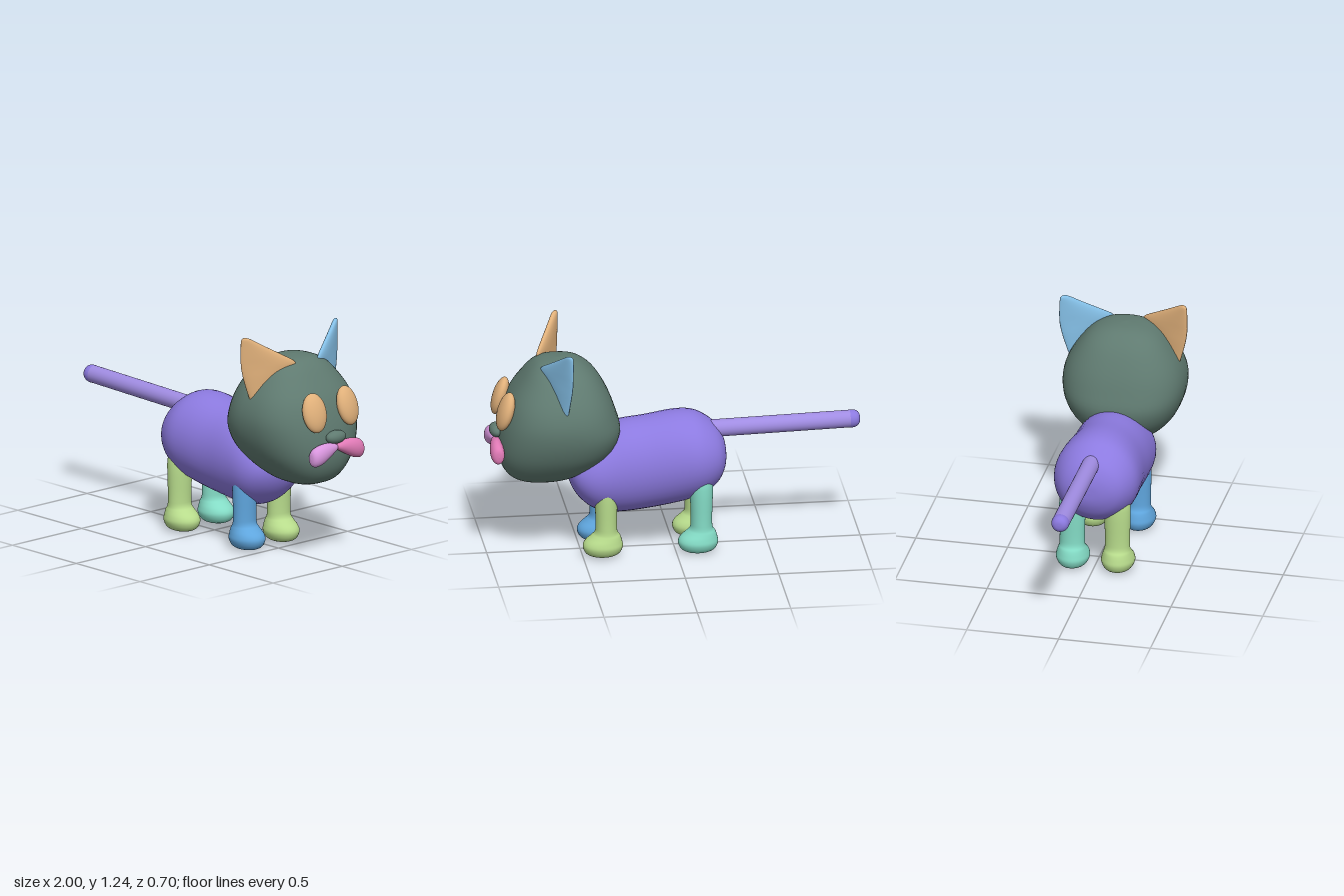
import * as THREE from 'three';

const mat = (name, color) => {
  const m = new THREE.MeshStandardMaterial({ color });
  m.name = name;
  return m;
};

// Smooth loft through sections [t, c1, r1, r2, c2] along an axis; pow squares off the rings
const place = {
  x: (t, u, v) => [t, u, v],
  y: (t, u, v) => [u, t, -v],
  z: (t, u, v) => [u, v, t],
};
function loft(sections, axis, { pow = 2, sides = 40, sub = 4 } = {}) {
  const mid = new THREE.CatmullRomCurve3(sections.map(s => new THREE.Vector3(s[0], s[1], s[4] || 0)), false, 'catmullrom');
  const rad = new THREE.CatmullRomCurve3(sections.map(s => new THREE.Vector3(s[2], s[3], 0)), false, 'catmullrom');
  const rows = (sections.length - 1) * sub;
  const pos = [], index = [];
  const bend = v => Math.sign(v) * Math.abs(v) ** (2 / pow);
  for (let i = 0; i <= rows; i++) {
    const m = mid.getPoint(i / rows), r = rad.getPoint(i / rows);
    for (let j = 0; j < sides; j++) {
      const a = (j / sides) * Math.PI * 2;
      pos.push(...place[axis](m.x, m.y + r.x * bend(Math.cos(a)), m.z + r.y * bend(Math.sin(a))));
      if (i === rows) continue;
      const k = (j + 1) % sides, p = i * sides, q = p + sides;
      index.push(p + j, p + k, q + k, p + j, q + k, q + j);
    }
  }
  const g = new THREE.BufferGeometry();
  g.setAttribute('position', new THREE.Float32BufferAttribute(pos, 3));
  g.setIndex(index);
  g.computeVertexNormals();
  return g;
}

export function createModel() {
  const purple = mat('purple', 0x8c7ae0), lavender = mat('lavender', 0xa08ce2);
  const slate = mat('slate green', 0x5f7a70), tan = mat('tan', 0xe0b07a);
  const blue = mat('blue', 0x5fa6de), sky = mat('sky blue', 0x84bfe6);
  const green = mat('light green', 0xb8dc8c), teal = mat('teal', 0x84dcc6);
  const orchid = mat('orchid', 0xd996de), pink = mat('pink', 0xe07ab6);

  const model = new THREE.Group();
  const add = (name, geometry, material, x = 0, y = 0, z = 0) => {
    const mesh = new THREE.Mesh(geometry, material);
    mesh.name = name;
    mesh.position.set(x, y, z);
    model.add(mesh);
    return mesh;
  };

  // Body: [x, top, bottom, half width]
  const body = [
    [-0.28, 0.51, 0.51, 0], [-0.277, 0.56, 0.46, 0.06], [-0.262, 0.615, 0.41, 0.12],
    [-0.23, 0.67, 0.355, 0.17], [-0.17, 0.72, 0.305, 0.21], [-0.1, 0.752, 0.275, 0.229],
    [0, 0.757, 0.25, 0.226], [0.15, 0.735, 0.225, 0.213], [0.3, 0.715, 0.213, 0.213],
    [0.42, 0.66, 0.235, 0.21], [0.5, 0.6, 0.295, 0.18], [0.55, 0.54, 0.37, 0.12], [0.575, 0.46, 0.46, 0],
  ].map(([x, t, b, w]) => [x, (t + b) / 2, (t - b) / 2, w]);
  add('body', loft(body, 'x'), purple, 0, 0, 0.005);

  // Head: [y, back x, front x, half width]
  const head = [
    [0.408, 0.69, 0.69, 0], [0.412, 0.63, 0.76, 0.06], [0.43, 0.56, 0.84, 0.115],
    [0.46, 0.49, 0.89, 0.165], [0.52, 0.4, 0.928, 0.226], [0.6, 0.323, 0.945, 0.282],
    [0.7, 0.29, 0.94, 0.32], [0.8, 0.314, 0.918, 0.328], [0.9, 0.352, 0.88, 0.298],
    [1.0, 0.41, 0.812, 0.232], [1.06, 0.47, 0.76, 0.168], [1.09, 0.53, 0.71, 0.09], [1.1, 0.62, 0.62, 0],
  ].map(([y, b, f, w]) => [y, (b + f) / 2, (f - b) / 2, w]);
  add('head', loft(head, 'y', { pow: 2.45, sides: 48 }), slate, 0, 0, 0.005);

  // Thin ears, swept backwards towards their outer edge: [y, inner z, outer z, half thickness]
  const ear = [
    [0.87, 0.285, 0.29, 0.004], [0.9, 0.25, 0.305, 0.016], [1.0, 0.16, 0.333, 0.022],
    [1.06, 0.09, 0.345, 0.023], [1.09, 0.085, 0.348, 0.023], [1.13, 0.145, 0.349, 0.022],
    [1.18, 0.227, 0.348, 0.019], [1.22, 0.29, 0.345, 0.015], [1.232, 0.312, 0.338, 0.009], [1.235, 0.326, 0.326, 0],
  ];
  for (const side of [1, -1]) {
    const g = loft(ear.map(([y, a, b, t]) => [y, 0, t, (b - a) / 2, -side * (a + b) / 2]), 'y', { sides: 28 });
    const p = g.attributes.position;
    for (let i = 0; i < p.count; i++) p.setX(i, p.getX(i) + 0.76 - 0.51 * Math.abs(p.getZ(i)));
    g.computeVertexNormals();
    add(side > 0 ? 'leftEar' : 'rightEar', g, side > 0 ? tan : sky, 0, side > 0 ? 0 : -0.01, 0);
  }

  // Eyes and nose
  const ball = new THREE.SphereGeometry(1, 32, 20);
  for (const side of [1, -1]) {
    const eye = add(side > 0 ? 'leftEye' : 'rightEye', ball, tan, 0.914, 0.848, side * 0.119 + 0.002);
    eye.scale.set(0.04, 0.107, 0.072);
    eye.rotation.set(0, -side * 0.15, 0.29);
  }
  add('nose', ball, slate, 0.95, 0.703, 0).scale.set(0.037, 0.036, 0.065);

  // Muzzle lobes, widening outwards: [z, x, radius x, radius y, y]
  const lobe = [
    [0, 0.955, 0, 0, 0.65], [0.004, 0.955, 0.018, 0.016, 0.65], [0.05, 0.957, 0.03, 0.036, 0.643],
    [0.1, 0.96, 0.036, 0.051, 0.631], [0.14, 0.96, 0.037, 0.054, 0.621], [0.167, 0.958, 0.032, 0.047, 0.615],
    [0.181, 0.956, 0.02, 0.03, 0.613], [0.185, 0.955, 0, 0, 0.612],
  ];
  add('leftMuzzle', loft(lobe, 'z', { sides: 28 }), orchid);
  add('rightMuzzle', loft(lobe.map(([z, ...r]) => [-z, ...r]).reverse(), 'z', { sides: 28 }), pink);

  // Legs with rounded feet pointing forwards
  const leg = loft([
    [0, 0.018, 0, 0], [0.003, 0.018, 0.05, 0.04], [0.02, 0.018, 0.09, 0.073], [0.055, 0.018, 0.107, 0.09],
    [0.085, 0.015, 0.1, 0.086], [0.115, 0.003, 0.078, 0.075], [0.14, 0, 0.06, 0.068],
    [0.2, 0, 0.057, 0.067], [0.41, 0, 0.057, 0.066], [0.44, 0, 0, 0],
  ], 'y', { sides: 32 });
  add('frontLeftLeg', leg, blue, 0.375, 0, 0.128);
  add('frontRightLeg', leg, green, 0.375, 0, -0.118);
  add('backLeftLeg', leg, green, -0.135, 0, 0.128);
  add('backRightLeg', leg, teal, -0.135, 0, -0.118);

  // Tail with a rounded purple tip
  const tail = add('tail', new THREE.CylinderGeometry(0.047, 0.047, 0.81, 28), lavender, -0.55, 0.659, 0);
  tail.rotation.z = Math.PI / 2 - 0.024;
  const tip = loft([
    [-1, 0.67, 0, 0], [-0.997, 0.67, 0.022, 0.022], [-0.985, 0.67, 0.039, 0.039],
    [-0.965, 0.669, 0.047, 0.047], [-0.945, 0.668, 0.0475, 0.0475],
  ], 'x', { sides: 28 });
  add('tailTip', tip, purple);

  return model;
}
